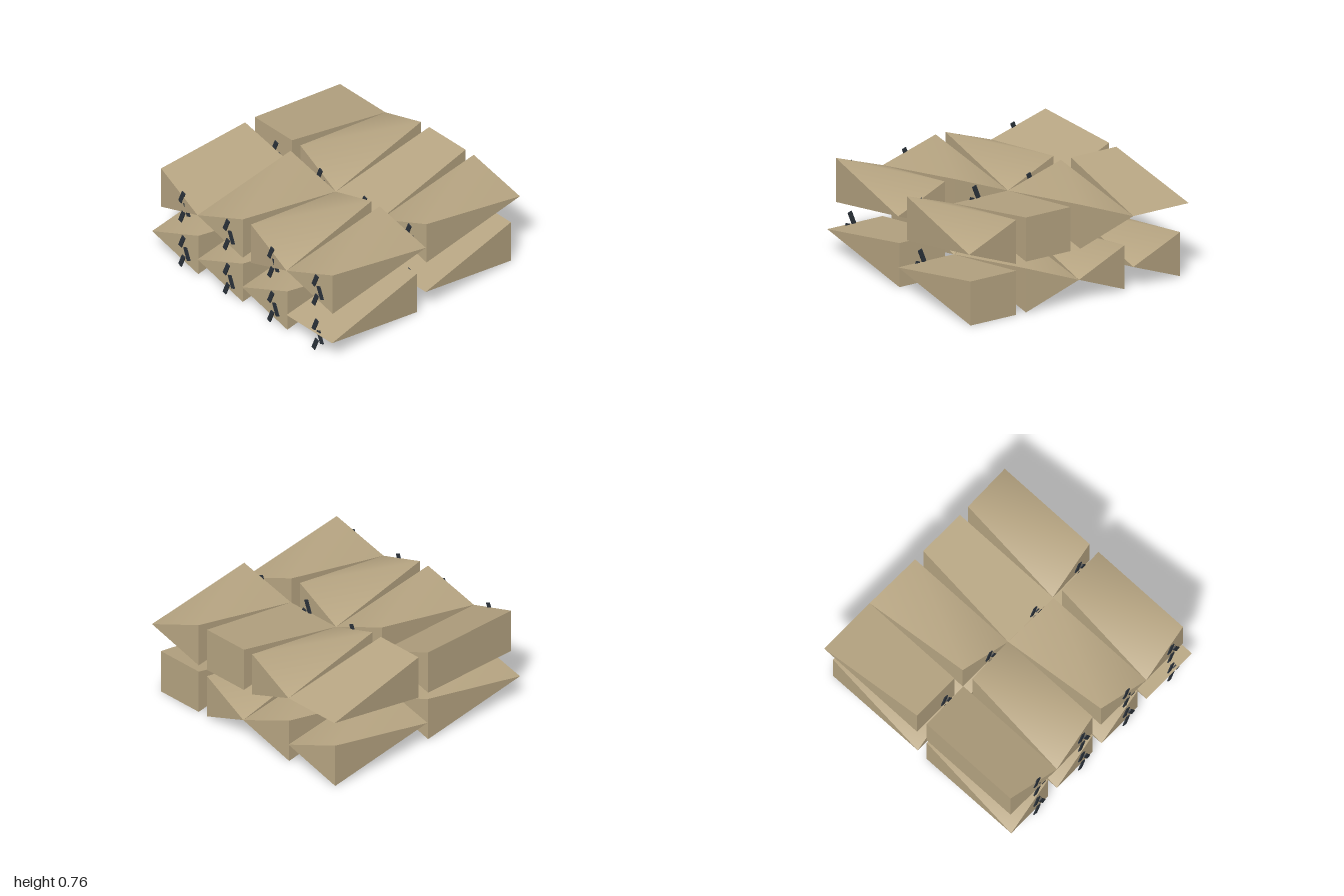
import * as THREE from 'three';
import { toCreasedNormals } from 'three/addons/utils/BufferGeometryUtils.js';
import { ConvexGeometry } from 'three/addons/geometries/ConvexGeometry.js';

const edgesX = [-0.99, -0.49, 0, 0.49, 0.99];
// Which corners of each sack are pinched to a point (B/F = back/front, L/R = -x/+x side)
const layers = [
  { bottom: 0.015, top: 0.37, seam: 0.2, strokeY: 0.165,
    back: ['BR FL', 'BR FL', 'BL FR', 'FL FR'],
    front: ['FL BR', 'FL BR', 'FL BR', 'FL FR'] },
  { bottom: 0.425, top: 0.78, seam: 0.61, strokeY: 0.575,
    back: ['BL BR', 'BL FR', 'FL FR', 'BR FL'],
    front: ['FR BR', 'FL BR', 'FR BL', 'FL BR'] },
];
const rows = { back: [-0.97, 0], front: [0, 0.967] };

// A sack: a block whose pinched corners meet at the seam and stick out
function sackGeometry(x0, x1, z0, z1, layer, pinched) {
  const points = [];
  for (const c of ['BL', 'BR', 'FL', 'FR']) {
    const sx = c[1] === 'L' ? 1 : -1, sz = c[0] === 'B' ? 1 : -1;
    const x = sx > 0 ? x0 : x1, z = sz > 0 ? z0 : z1;
    if (pinched.includes(c)) {
      points.push(new THREE.Vector3(x, layer.seam, z));
    } else {
      for (const y of [layer.bottom, layer.top]) {
        points.push(new THREE.Vector3(x + sx * 0.045, y, z + sz * 0.05));
      }
    }
  }
  return toCreasedNormals(new ConvexGeometry(points), 0.9);
}

export function createModel() {
  const cloth = new THREE.MeshStandardMaterial({ color: 0xb8a683 });
  cloth.name = 'sackcloth';
  const ink = new THREE.MeshStandardMaterial({ color: 0x2b323a });
  ink.name = 'darkMarking';

  const model = new THREE.Group();
  model.name = 'sackStack';
  const strokeGeometry = new THREE.BoxGeometry(0.036, 0.11, 0.009);

  for (const layer of layers) {
    for (const [row, [z0, z1]] of Object.entries(rows)) {
      for (let i = 0; i < 4; i++) {
        const sack = new THREE.Mesh(
          sackGeometry(edgesX[i], edgesX[i + 1], z0, z1, layer, layer[row][i]), cloth);
        sack.name = row + 'Sack';
        model.add(sack);

        // Three slanted strokes on the front end
        const marking = new THREE.Group();
        marking.name = 'marking';
        for (const k of [-1, 0, 1]) {
          const stroke = new THREE.Mesh(strokeGeometry, ink);
          stroke.name = 'markingStroke';
          stroke.position.set(k === 0 ? 0.055 : 0, k * 0.089, 0);
          stroke.rotation.z = k === 0 ? 0.37 : -0.37;
          marking.add(stroke);
        }
        marking.position.set(-0.685 + i * 0.489, layer.strokeY, row === 'front' ? 0.945 : -0.012);
        model.add(marking);
      }
    }
  }
  return model;
}
